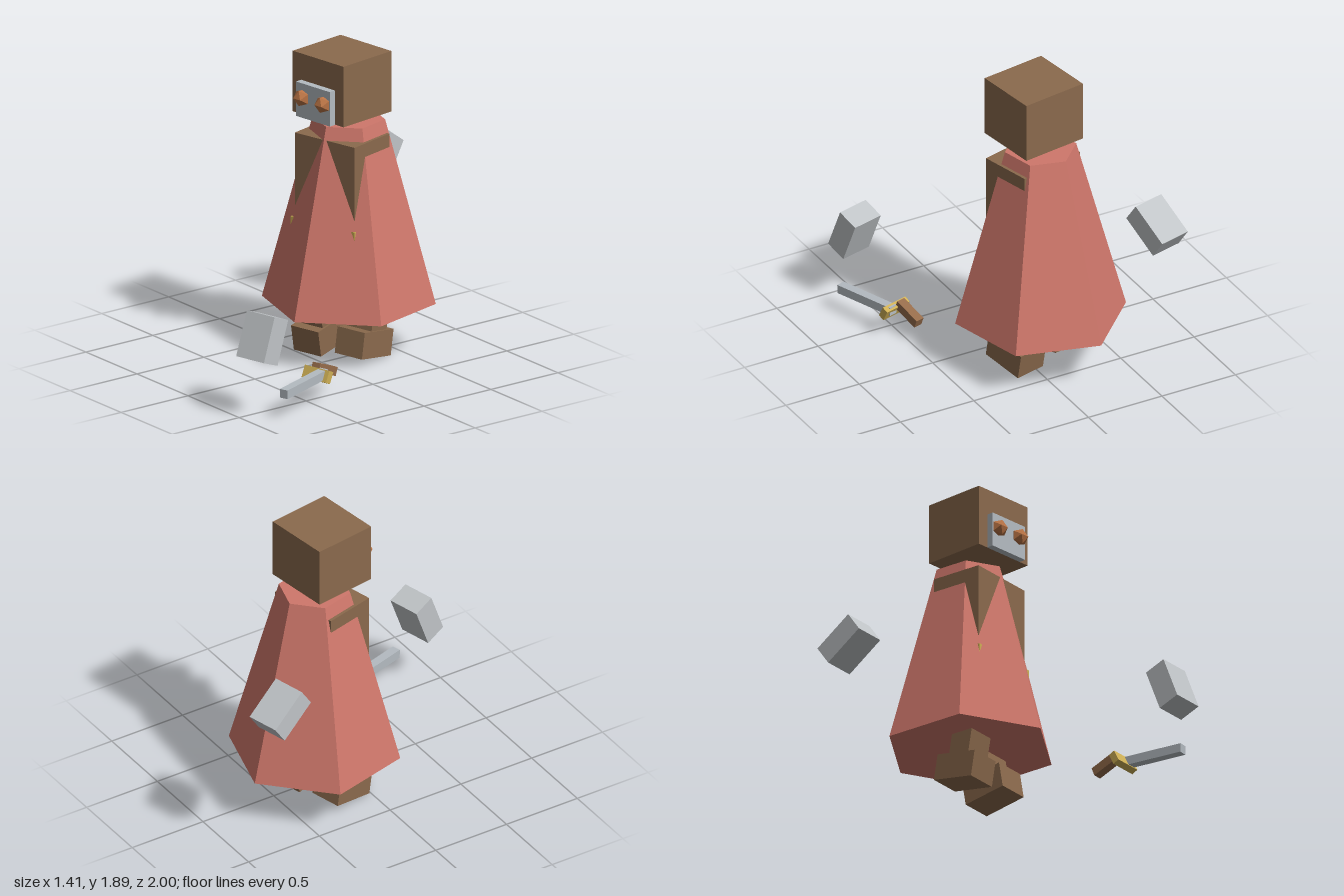
import * as THREE from 'three';

const mat = (name, color) => {
  const m = new THREE.MeshStandardMaterial({ color });
  m.name = name;
  return m;
};

export function createModel() {
  const brown = mat('brown hide', 0x8b6a4d);
  const red = mat('red cloth', 0xcf776b);
  const steel = mat('steel', 0xb4bbc1);
  const plate = mat('pale gauntlet', 0xc0c4c7);
  const gold = mat('gold', 0xcfb055);
  const copper = mat('copper', 0xb87345);
  const gripBrown = mat('grip leather', 0x966c4b);

  const model = new THREE.Group();
  const YAW = 0.25; // the figure is turned slightly to its left

  const add = (parent, name, geometry, material, x, y, z, pitch = 0, yaw = 0) => {
    const mesh = new THREE.Mesh(geometry, material);
    mesh.name = name;
    mesh.position.set(x, y, z);
    mesh.rotation.set(pitch, yaw, 0, 'YXZ');
    parent.add(mesh);
    return mesh;
  };
  const box = (w, h, d) => new THREE.BoxGeometry(w, h, d);
  const group = (name, x, y, z, pitch, yaw) => {
    const g = new THREE.Group();
    g.name = name;
    g.position.set(x, y, z);
    g.rotation.set(pitch, yaw, 0, 'YXZ');
    model.add(g);
    return g;
  };

  // Torso with belt, and the six-sided cloak it pokes through
  const torso = group('torso', -0.069, 0, -0.2035, 0, YAW);
  add(torso, 'body', box(0.453, 0.7, 0.333), brown, 0, 1.03, 0);
  add(torso, 'belt', box(0.485, 0.08, 0.376), gold, 0, 0.817, 0);
  const cloakGeo = new THREE.CylinderGeometry(0.218, 0.522, 1.145, 6).toNonIndexed();
  cloakGeo.computeVertexNormals();
  add(torso, 'cloak', cloakGeo, red, 0, 0.8875, -0.065);

  // Head with face plate and faceted eyes
  const head = group('head', -0.0725, 1.705, -0.2065, 0, 0.145);
  add(head, 'skull', box(0.423, 0.38, 0.406), brown, 0, 0, 0);
  add(head, 'facePlate', box(0.28, 0.216, 0.044), steel, 0, -0.083, 0.226);
  for (const side of [-1, 1]) {
    const eye = new THREE.IcosahedronGeometry(0.055, 0).rotateZ(Math.PI / 2);
    add(head, side > 0 ? 'leftEye' : 'rightEye', eye, copper, side * 0.088, -0.063, 0.25);
  }

  // Legs in mid-stride, each leg tilted together with its boot
  for (const [name, x, z, tilt] of [
    ['leftLeg', 0.077, -0.257, -0.17],
    ['rightLeg', -0.217, -0.155, 0.17],
  ]) {
    const leg = group(name, x, 0.104, z, tilt, YAW);
    add(leg, 'boot', box(0.206, 0.162, 0.28), brown, 0, 0, 0);
    add(leg, 'shin', box(0.185, 0.5, 0.145), brown, 0, 0.25, -0.012 * Math.sign(x));
  }

  // Floating gauntlets
  add(model, 'rightHand', box(0.21, 0.28, 0.14), plate, -0.568, 1.073, -0.82, 0.96, YAW);
  add(model, 'leftHand', box(0.21, 0.28, 0.14), plate, 0.548, 0.485, 0.864, -0.375, YAW);

  // Sword lying low beside the left foot
  const sword = new THREE.Group();
  sword.name = 'sword';
  model.add(sword);
  add(sword, 'grip', box(0.057, 0.055, 0.18), gripBrown, 0.469, 0.16, 0.34, -0.38, YAW);
  add(sword, 'guard', box(0.185, 0.075, 0.042), gold, 0.52, 0.158, 0.43, -0.45, YAW);
  add(sword, 'blade', box(0.055, 0.055, 0.425), steel, 0.612, 0.162, 0.6, 0.03, 0.316);

  return model;
}
